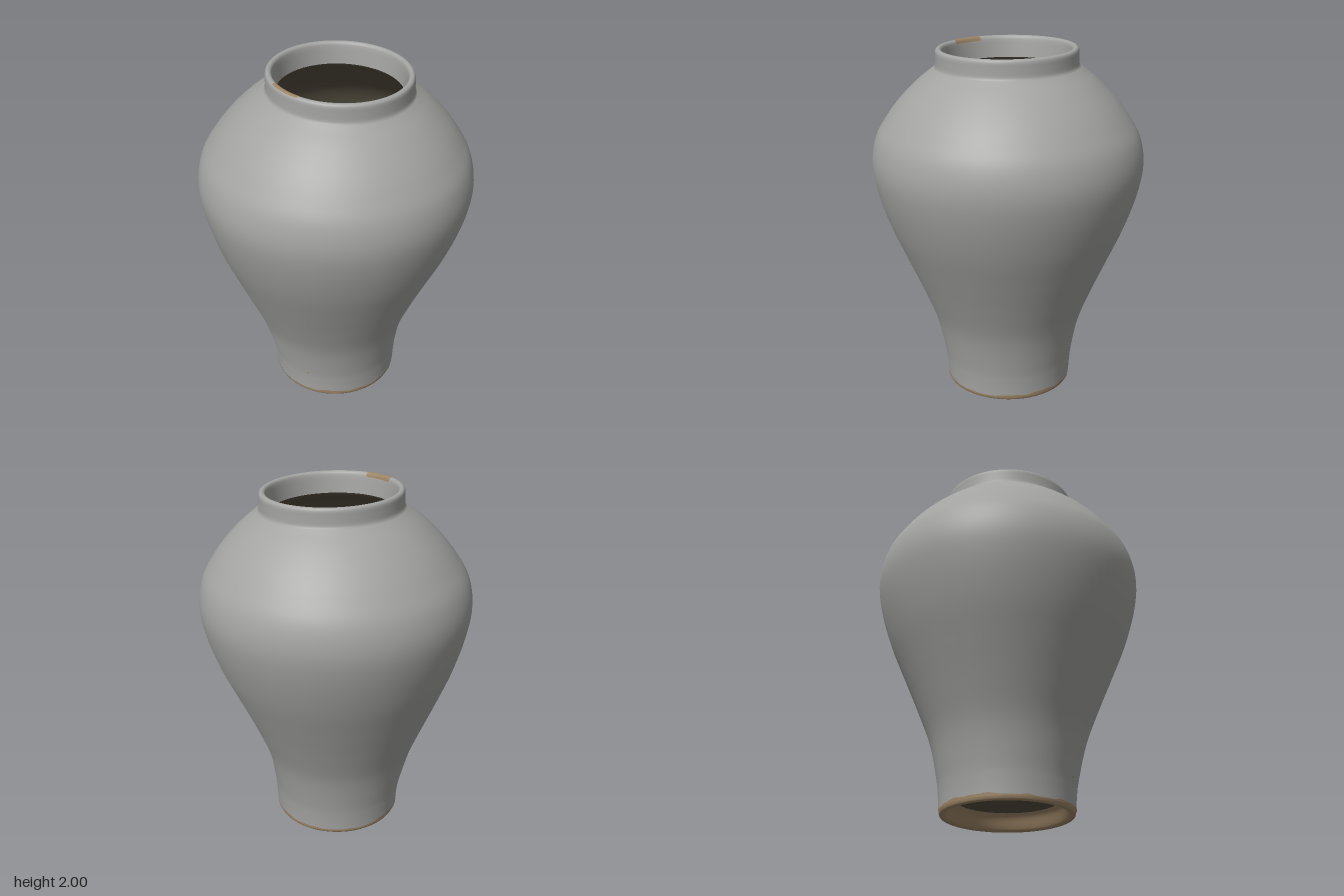
import * as THREE from 'three';

const SEGMENTS = 96;

// Smooth 0..1 ramp between a and b
const ramp = (y, a, b) => THREE.MathUtils.smoothstep(y, a, b);

// Hand-thrown irregularity: the axis wanders a little and the neck is tilted
function wobble(geometry) {
  const p = geometry.attributes.position;
  for (let i = 0; i < p.count; i++) {
    const x = p.getX(i), y = p.getY(i), z = p.getZ(i);
    const neck = ramp(y, 1.45, 1.9);
    const sway = -0.005 - 0.015 * ramp(y, 0.05, 0.4) + 0.02 * ramp(y, 0.6, 1.35);
    p.setX(i, x + sway + 0.02 * neck);
    p.setZ(i, z - 0.005 + 0.005 * ramp(y, 0.5, 1.3) + 0.011 * neck);
    p.setY(i, y - neck * (0.022 * x + 0.02 * z));
  }
  return geometry;
}

// Profile points, optionally smoothed into a curve
const toPoints = (list) => list.map(([r, y]) => new THREE.Vector2(r, y));
const smooth = (list, n) => new THREE.SplineCurve(toPoints(list)).getPoints(n);

function turned(name, points, material, start = 0, sweep = Math.PI * 2, segments = SEGMENTS) {
  const mesh = new THREE.Mesh(wobble(new THREE.LatheGeometry(points, segments, start, sweep)), material);
  mesh.name = name;
  return mesh;
}

export function createModel() {
  const group = new THREE.Group();
  group.name = 'jar';

  const material = (name, color) => {
    const m = new THREE.MeshStandardMaterial({ color });
    m.name = name;
    return m;
  };
  const glaze = material('grey glaze', 0xa3a3a1);
  const clay = material('bare tan clay', 0x9c8465);
  const dark = material('dark brown inside', 0x544d3f);

  // Outer wall from the foot to the shoulder
  group.add(turned('body', smooth([
    [0.367, 0.025], [0.372, 0.1], [0.385, 0.2], [0.43, 0.4], [0.507, 0.6], [0.592, 0.8],
    [0.675, 1.0], [0.737, 1.2], [0.76, 1.36], [0.735, 1.5], [0.672, 1.61], [0.595, 1.71],
    [0.5, 1.805], [0.425, 1.865], [0.4, 1.885],
  ], 70), glaze));

  // Short neck with rounded rim, down to the inner neck edge
  group.add(turned('neck', smooth([
    [0.4, 1.885], [0.393, 1.9], [0.391, 1.94], [0.39, 1.97], [0.384, 1.984], [0.372, 1.989],
    [0.359, 1.983], [0.352, 1.965], [0.346, 1.92], [0.34, 1.868],
  ], 40), glaze));

  // Hollow inside
  group.add(turned('insideWall', smooth([
    [0.34, 1.868], [0.36, 1.845], [0.45, 1.78], [0.57, 1.67], [0.67, 1.54], [0.71, 1.36],
    [0.68, 1.15], [0.58, 0.87], [0.46, 0.6], [0.37, 0.35], [0.33, 0.2], [0.29, 0.15], [0.2, 0.13], [0, 0.125],
  ], 60), dark));

  // Foot ring of bare clay and the recessed underside
  group.add(turned('footRing', smooth([
    [0.285, 0.095], [0.305, 0.07], [0.323, 0.025], [0.334, 0.006], [0.35, 0],
    [0.362, 0.006], [0.367, 0.025],
  ], 24), clay));
  group.add(turned('underside', smooth([[0, 0.11], [0.15, 0.108], [0.25, 0.103], [0.285, 0.095]], 10), dark));

  // Uneven upper edge of the bare clay around the foot
  const edge = turned('footClayEdge', toPoints([[0.3685, 0.02], [0.3695, 0.04]]), clay);
  const p = edge.geometry.attributes.position;
  for (let i = 0; i < p.count; i++) {
    if (p.getY(i) < 0.03) continue;
    const a = Math.atan2(p.getX(i), p.getZ(i));
    p.setY(i, 0.031 + 0.005 * Math.sin(a * 3 + 2.5) + 0.003 * Math.sin(a * 11) + 0.002 * Math.sin(a * 23));
  }
  group.add(edge);

  // Worn patch on the rim
  group.add(turned('rimWear', smooth([
    [0.3855, 1.9855], [0.372, 1.9905], [0.3575, 1.984], [0.3505, 1.966],
  ], 10), clay, -1.4, 0.5, 12));

  // Small clay fleck low on the front
  const fleck = new THREE.Mesh(new THREE.CircleGeometry(0.009, 8), clay);
  fleck.name = 'clayFleck';
  fleck.position.set(-0.265, 0.17, 0.277);
  fleck.rotation.y = Math.atan2(-0.265, 0.277);
  group.add(fleck);

  return group;
}
